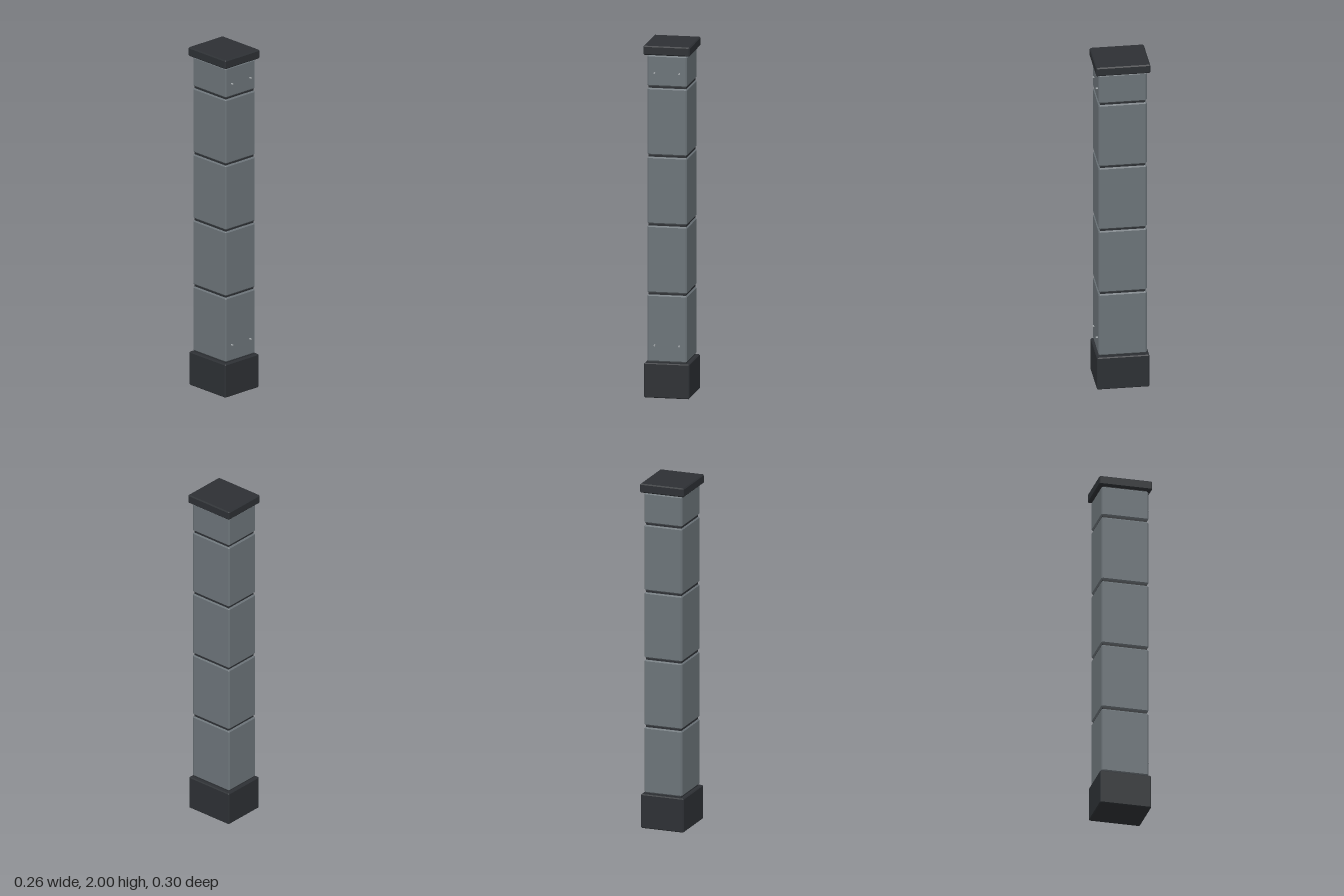
import * as THREE from 'three';
import { ConvexGeometry } from 'three/addons/geometries/ConvexGeometry.js';

const dark = new THREE.MeshStandardMaterial({ color: 0x2d3034 });
const slate = new THREE.MeshStandardMaterial({ color: 0x6c7479 });
const steel = new THREE.MeshStandardMaterial({ color: 0xa0a5a8 });

// Box with every edge cut by a flat chamfer c, standing between y0 and y1
function chamferBox(name, hx, hz, y0, y1, c, material) {
  const hy = (y1 - y0) / 2;
  const points = [];
  for (const sx of [-1, 1]) for (const sy of [-1, 1]) for (const sz of [-1, 1]) {
    points.push(
      new THREE.Vector3(sx * hx, sy * (hy - c), sz * (hz - c)),
      new THREE.Vector3(sx * (hx - c), sy * hy, sz * (hz - c)),
      new THREE.Vector3(sx * (hx - c), sy * (hy - c), sz * hz)
    );
  }
  const mesh = new THREE.Mesh(new ConvexGeometry(points), material);
  mesh.position.y = (y0 + y1) / 2;
  mesh.name = name;
  return mesh;
}

export function createModel() {
  const model = new THREE.Group();
  model.name = 'pillar';

  // Plinth and cap
  model.add(chamferBox('base', 0.128, 0.147, 0, 0.197, 0.005, dark));
  model.add(chamferBox('cap', 0.132, 0.152, 1.948, 2, 0.006, dark));

  // Recessed core that shows in the joints
  const core = new THREE.Mesh(new THREE.BoxGeometry(0.212, 1.77, 0.252), dark);
  core.name = 'core';
  core.position.y = 1.075;
  model.add(core);

  // Four full blocks and a short one under the cap
  const start = 0.203, pitch = 0.3915, joint = 0.011;
  for (let i = 0; i < 5; i++) {
    const y0 = start + i * pitch;
    const y1 = i < 4 ? y0 + pitch - joint : 1.944;
    model.add(chamferBox('block' + (i + 1), 0.113, 0.135, y0, y1, 0.007, slate));
  }

  // Mounting studs on the front face
  const studGeometry = new THREE.CylinderGeometry(0.005, 0.005, 0.016, 12).rotateX(Math.PI / 2);
  for (const y of [0.298, 1.845]) for (const x of [-0.07, 0.07]) {
    const stud = new THREE.Mesh(studGeometry, steel);
    stud.name = 'stud';
    stud.position.set(x, y, 0.138);
    model.add(stud);
  }

  return model;
}
